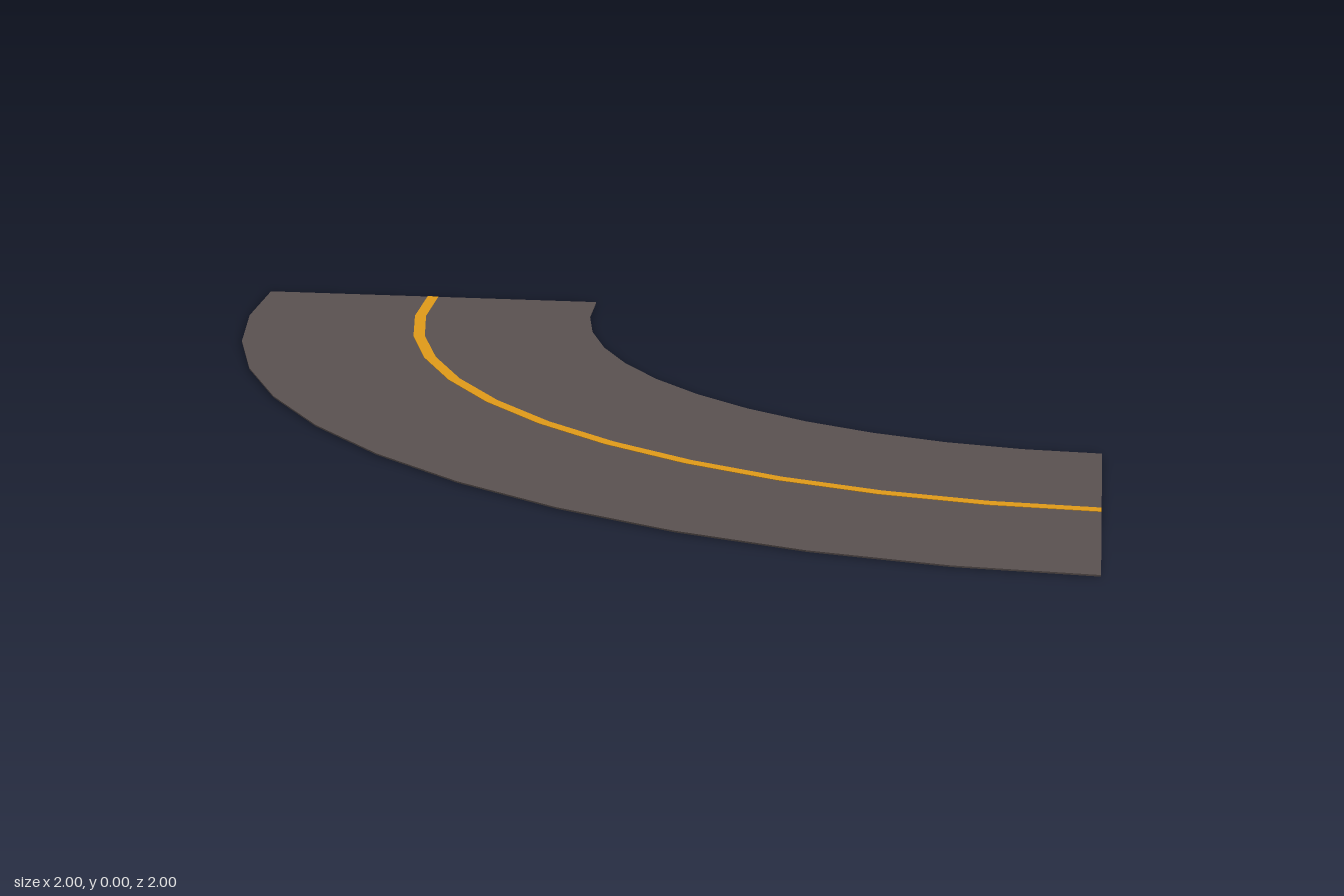
import * as THREE from 'three';

// Thin quarter-ring slab around the corner (1, -1), twelve straight facets along the bend
function arcSlab(name, inner, outer, bottom, top, material) {
  const shape = new THREE.Shape();
  shape.absarc(0, 0, outer, Math.PI, Math.PI * 1.5, false);
  shape.absarc(0, 0, inner, Math.PI * 1.5, Math.PI, true);
  const geometry = new THREE.ExtrudeGeometry(shape, {
    depth: top - bottom,
    curveSegments: 6, // arcs get two divisions per segment
    bevelEnabled: false,
  });
  geometry.rotateX(-Math.PI / 2);
  geometry.translate(1, bottom, -1);
  const mesh = new THREE.Mesh(geometry, material);
  mesh.name = name;
  return mesh;
}

export function createModel() {
  const asphalt = new THREE.MeshStandardMaterial({ color: 0x5a5150 });
  asphalt.name = 'asphalt';
  const yellowPaint = new THREE.MeshStandardMaterial({ color: 0xe09a18 });
  yellowPaint.name = 'yellow paint';

  const group = new THREE.Group();
  group.name = 'curvedRoad';

  // Road slab, with a centre line that shows on both faces
  group.add(arcSlab('roadSlab', 1.2, 2, 0.001, 0.004, asphalt));
  group.add(arcSlab('centreLine', 1.585, 1.611, 0, 0.005, yellowPaint));
  return group;
}
